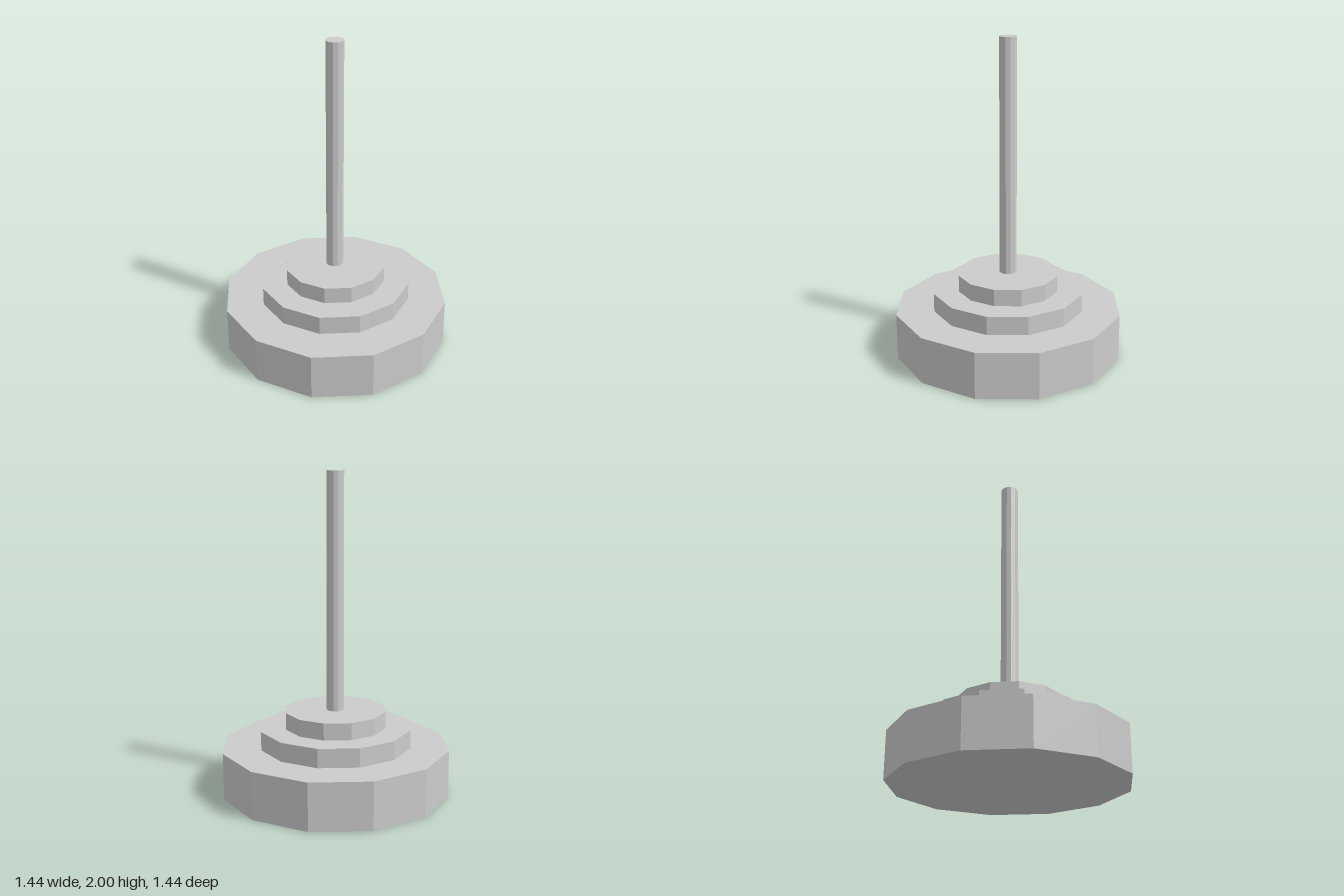
import * as THREE from 'three';

const SIDES = 12;

export function createModel() {
  const group = new THREE.Group();
  const material = new THREE.MeshStandardMaterial({ color: 0xcccccc, flatShading: true });

  // Upright twelve-sided prism between two heights
  function addPrism(name, radius, bottom, top) {
    const height = top - bottom;
    const mesh = new THREE.Mesh(new THREE.CylinderGeometry(radius, radius, height, SIDES), material);
    mesh.name = name;
    mesh.position.y = bottom + height / 2;
    group.add(mesh);
  }

  // Stepped base
  addPrism('baseWeight', 0.72, 0, 0.295);
  addPrism('middlePlate', 0.48, 0.295, 0.413);
  addPrism('upperPlate', 0.32, 0.413, 0.519);

  // Central pole
  addPrism('pole', 0.055, 0.519, 2);

  return group;
}
